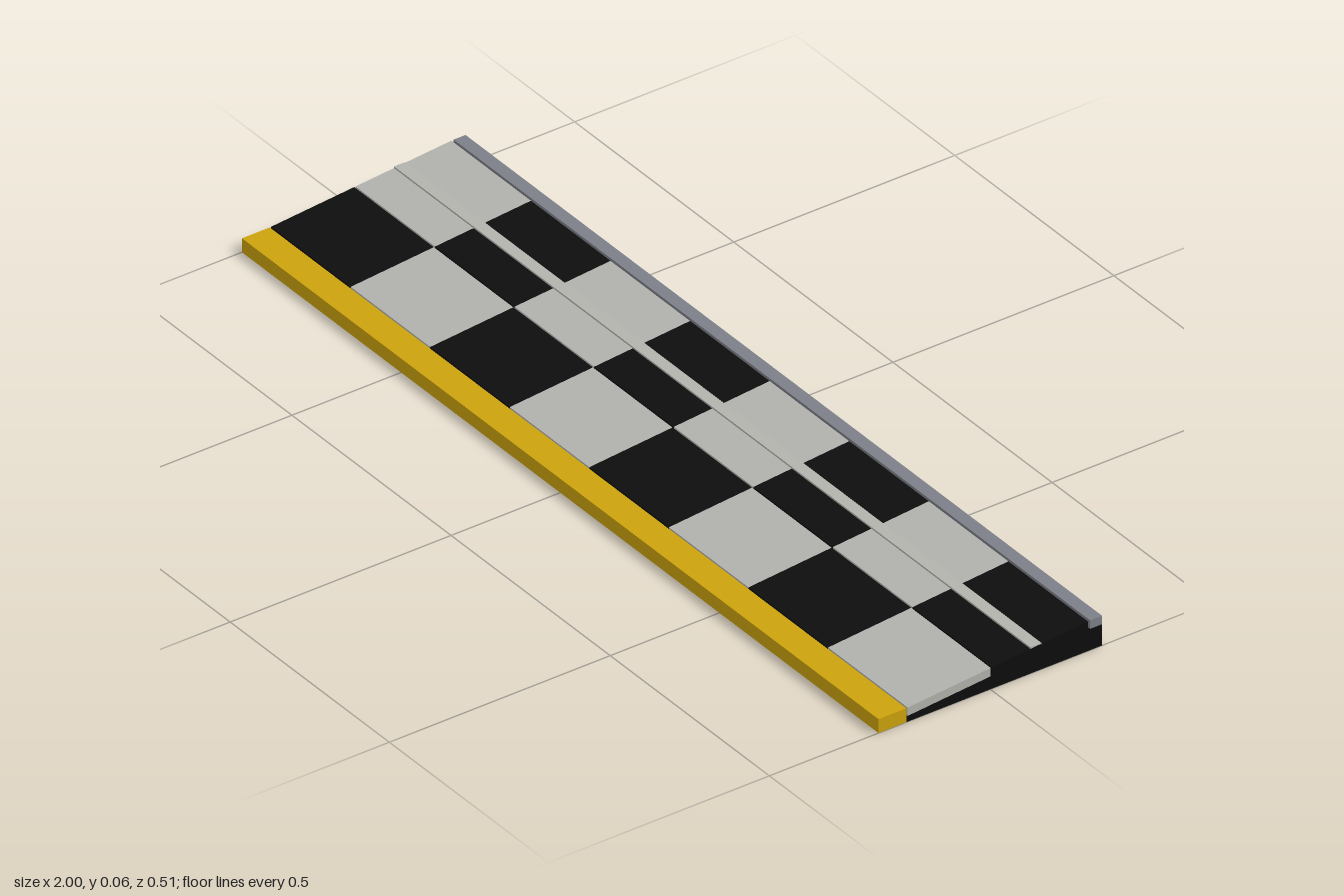
import * as THREE from 'three';

const colour = (name, hex) => {
  const m = new THREE.MeshStandardMaterial({ color: hex });
  m.name = name;
  return m;
};

// Prism along x from a side profile given as [z, y] points
function prism(points, x0, width) {
  const shape = new THREE.Shape(points.map(([z, y]) => new THREE.Vector2(z, y)));
  const geo = new THREE.ExtrudeGeometry(shape, { depth: width, bevelEnabled: false });
  return geo.rotateY(-Math.PI / 2).translate(x0 + width, 0, 0);
}

export function createModel() {
  const black = colour('black', 0x0d0d0d);
  const white = colour('offWhite', 0xb2b3ad);
  const yellow = colour('yellow', 0xcca30c);
  const grey = colour('railGrey', 0x7c7f88);

  const group = new THREE.Group();
  group.name = 'checkeredRamp';
  const add = (name, geo, mat) => {
    const mesh = new THREE.Mesh(geo, mat);
    mesh.name = name;
    group.add(mesh);
  };
  // Full-width bar between two depths and two heights
  const bar = (name, z0, z1, y0, y1, mat) =>
    add(name, prism([[z0, y0], [z1, y0], [z1, y1], [z0, y1]], -1, 2), mat);

  // Height of the sloping base at depth z
  const slope = z => 0.028 - 0.083 * z;
  const thick = 0.0183;

  // Sloping base
  add('rampBase', prism([
    [0.189, 0], [0.189, slope(0.189)], [-0.225, slope(-0.225)],
    [-0.225, 0.0465], [-0.253, 0.0465], [-0.253, 0],
  ], -1, 2), black);

  // Two rows of alternating tiles
  const rows = [['frontTile', 0.187, -0.001], ['backTile', -0.004, -0.221]];
  rows.forEach(([name, z0, z1], row) => {
    const profile = [
      [z0, slope(z0)], [z0, slope(z0) + thick],
      [z1, slope(z1) + thick], [z1, slope(z1)],
    ];
    for (let i = 0; i < 8; i++) {
      add(name, prism(profile, -1 + i * 0.25, 0.25), (i + row) % 2 ? white : black);
    }
  });

  // Front kerb, rear rail and raised grip strip
  bar('frontKerb', 0.19, 0.253, 0, 0.0305, yellow);
  bar('rearRail', -0.253, -0.226, 0.0465, 0.065, grey);
  bar('gripStrip', -0.116, -0.091, 0.05, 0.0575, white);

  return group;
}
